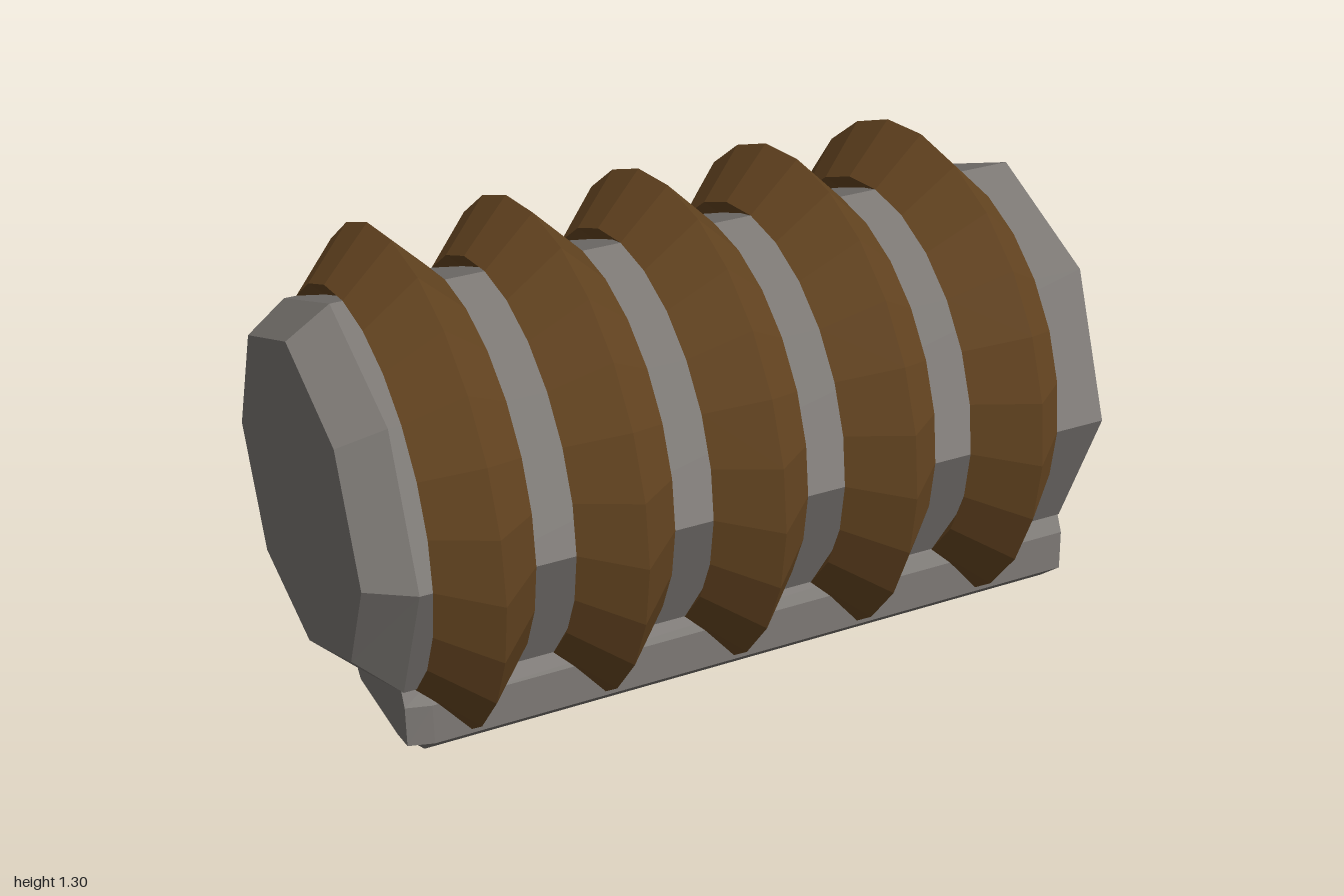
import * as THREE from 'three';

const CENTER_Y = 0.655;

// Closed solid along x from sections { x, pts: [y, z][] }
function loft(sections) {
  const n = sections[0].pts.length;
  const pos = sections.flatMap(s => s.pts.flatMap(([y, z]) => [s.x, y, z]));
  const idx = [];
  for (let i = 0; i < sections.length - 1; i++) {
    for (let j = 0; j < n; j++) {
      const a = i * n + j, b = i * n + (j + 1) % n;
      idx.push(a, b, a + n, b, b + n, a + n);
    }
  }
  const last = (sections.length - 1) * n;
  for (let j = 1; j < n - 1; j++) {
    idx.push(0, j + 1, j, last, last + j, last + j + 1);
  }
  const g = new THREE.BufferGeometry();
  g.setAttribute('position', new THREE.Float32BufferAttribute(pos, 3));
  g.setIndex(idx);
  const flat = g.toNonIndexed();
  flat.computeVertexNormals();
  return flat;
}

function octagon(r) {
  return Array.from({ length: 8 }, (_, i) => {
    const a = i * Math.PI / 4;
    return [CENTER_Y + r * Math.cos(a), r * Math.sin(a)];
  });
}

export function createModel() {
  const group = new THREE.Group();
  const grey = new THREE.MeshStandardMaterial({ color: 0x7a7672, flatShading: true });
  grey.name = 'grey metal';
  const brown = new THREE.MeshStandardMaterial({ color: 0x684722, flatShading: true });
  brown.name = 'brown';
  const add = (name, geometry, material) => {
    const mesh = new THREE.Mesh(geometry, material);
    mesh.name = name;
    group.add(mesh);
    return mesh;
  };

  // Eight-sided core with one bevelled end, cut higher near the rail
  const tip = octagon(0.445);
  tip[3] = [0.39, 0.33];
  tip[4] = [0.25, 0];
  add('core', loft([
    { x: -1, pts: tip },
    { x: -0.885, pts: octagon(0.52) },
    { x: 1, pts: octagon(0.52) },
  ]), grey);

  // Rail along the lower front edge, with a bevelled nose
  const rail = [[0.35, 0.1], [0.29, 0.36], [0.24, 0.385], [0.13, 0.39], [0.06, 0.31],
    [0.015, 0.2], [0.01, 0.09], [0.085, 0.02], [0.14, 0]];
  const nose = rail.map(([y, z]) => [Math.max(y, 0.12), z * 0.9 + 0.02]);
  add('rail', loft([
    { x: -0.885, pts: nose },
    { x: -0.82, pts: rail },
    { x: 1, pts: rail },
  ]), grey);

  // Five rings with a diamond cross-section
  const ringGeometry = new THREE.TorusGeometry(0.52, 0.13, 4, 24);
  ringGeometry.rotateY(Math.PI / 2);
  for (let i = 0; i < 5; i++) {
    const ring = add('ring' + (i + 1), ringGeometry, brown);
    ring.position.set(-0.722 + i * 0.3635, CENTER_Y, 0);
  }
  return group;
}
